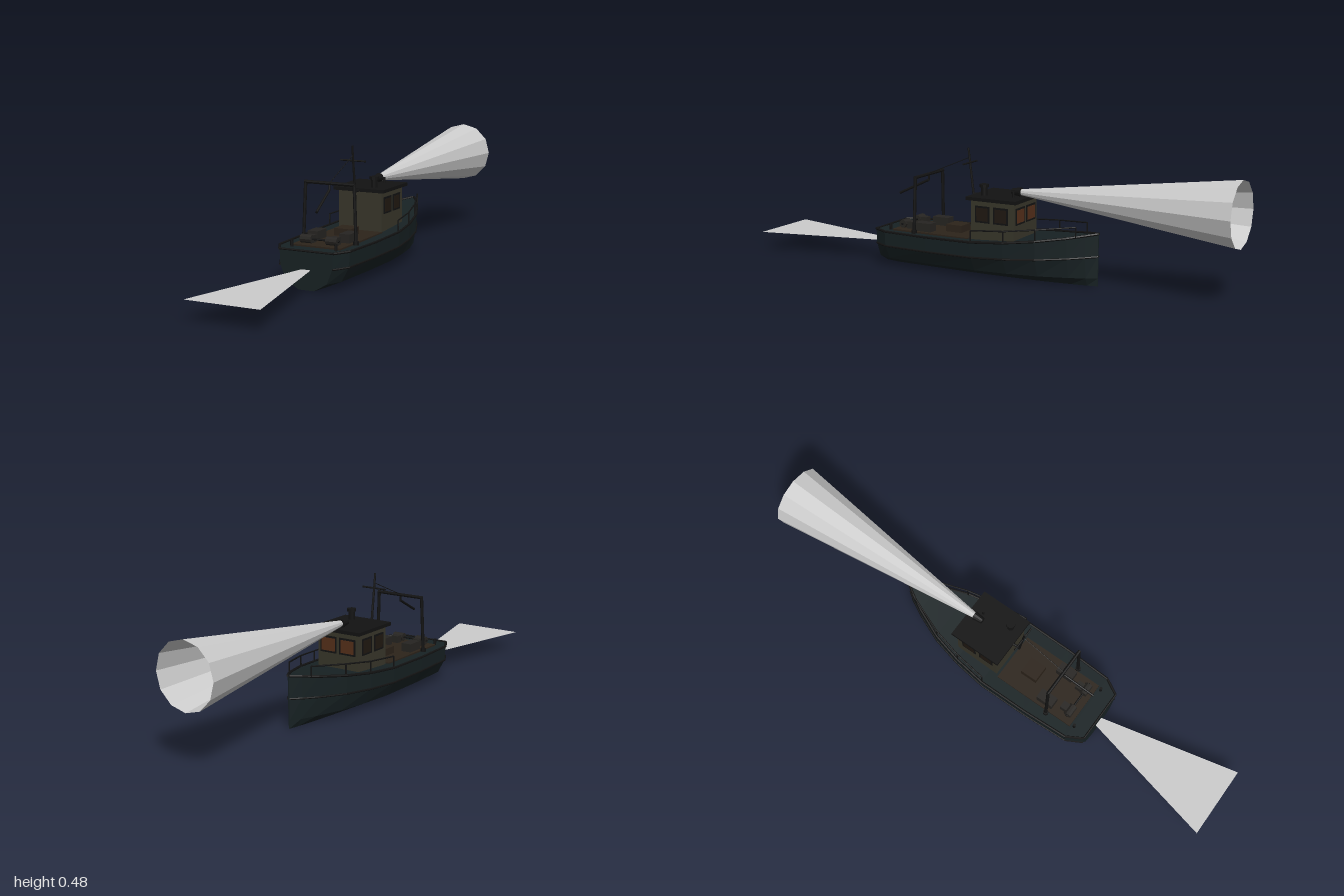
import * as THREE from 'three';

const paint = (color, side = THREE.FrontSide) =>
  new THREE.MeshStandardMaterial({ color, side, flatShading: true });
const M = {
  hull: paint(0x172123), black: paint(0x121212), deck: paint(0x2c231a), wall: paint(0x38362a),
  glass: paint(0x201811), lamp: paint(0x55301a), gear: paint(0x262421),
  grey: paint(0xcccccc, THREE.DoubleSide),
};
const V = (x, y, z) => new THREE.Vector3(x, y, z);

// hull stations from stern to bow: z, half beam, sheer height
const STATIONS = [
  [0.452, 0.108, 0.143], [0.39, 0.143, 0.143], [0.2, 0.152, 0.143], [0, 0.153, 0.146],
  [-0.13, 0.136, 0.154], [-0.25, 0.108, 0.167], [-0.36, 0.062, 0.182], [-0.42, 0.03, 0.192], [-0.46, 0.003, 0.198],
];
const railY = (s) => 0.085 + 0.5 * (s - 0.143);
const section = ([, b, s]) => [[b, s], [b * 0.975, railY(s)], [b * 0.77, 0.03], [b * 0.29, 0]];

function geometry(points, index) {
  const g = new THREE.BufferGeometry();
  g.setAttribute('position', new THREE.Float32BufferAttribute(points, 3));
  g.setIndex(index);
  g.computeVertexNormals();
  return g;
}

function hullGeometry() {
  const pts = [], idx = [], n = 8;
  STATIONS.forEach((st, i) => {
    const half = section(st);
    const ring = [...half, ...half.map(([x, y]) => [-x, y]).reverse()];
    ring.forEach(([x, y]) => pts.push(x, y, st[0]));
    if (i === STATIONS.length - 1) return;
    for (let j = 0; j < n - 1; j++) {
      const a = i * n + j, c = a + n;
      idx.push(a, a + 1, c, a + 1, c + 1, c);
    }
  });
  // transom and stem caps
  const last = (STATIONS.length - 1) * n;
  for (let j = 1; j < n - 1; j++) idx.push(0, j + 1, j, last, last + j, last + j + 1);
  return geometry(pts, idx);
}

// deck strip with slight inset below the sheer
function deckGeometry() {
  const pts = [], idx = [];
  STATIONS.forEach(([z, b, s], i) => {
    pts.push(b, s - 0.002, z, -b, s - 0.002, z);
    const a = i * 2;
    if (i < STATIONS.length - 1) idx.push(a, a + 2, a + 1, a + 1, a + 2, a + 3);
  });
  return geometry(pts, idx);
}

export function createModel() {
  const model = new THREE.Group();
  const add = (name, geo, mat, x = 0, y = 0, z = 0) => {
    const m = new THREE.Mesh(geo, mat);
    m.name = name;
    m.position.set(x, y, z);
    model.add(m);
    return m;
  };
  const box = (name, mat, w, h, d, x, y, z) => add(name, new THREE.BoxGeometry(w, h, d), mat, x, y, z);
  const rod = (name, a, b, r, mat = M.black, r2 = r, sides = 8) => {
    const m = add(name, new THREE.CylinderGeometry(r2, r, a.distanceTo(b), sides), mat);
    m.position.copy(a).add(b).multiplyScalar(0.5);
    m.quaternion.setFromUnitVectors(V(0, 1, 0), b.clone().sub(a).normalize());
    return m;
  };
  const chain = (name, pts, r) => pts.slice(1).forEach((p, i) => rod(name, pts[i], p, r, M.black, r, 6));

  // hull and decks
  add('hull', hullGeometry(), M.hull);
  add('deck', deckGeometry(), M.hull);
  box('workDeck', M.deck, 0.2, 0.006, 0.34, 0, 0.144, 0.21);

  // rub rails along both sides and across the stern
  for (const s of [1, -1]) {
    chain('sheerRail', STATIONS.map(([z, b, y]) => V(s * b, y, z)), 0.005);
    chain('rubRail', STATIONS.map(([z, b, y]) => V(s * b * 0.98, railY(y), z)), 0.004);
  }
  rod('sternRail', V(-0.108, 0.143, 0.452), V(0.108, 0.143, 0.452), 0.004);

  // wheelhouse
  box('wheelhouse', M.wall, 0.182, 0.157, 0.185, 0, 0.2185, -0.0625);
  box('wheelhouseRoof', M.black, 0.212, 0.013, 0.214, 0, 0.302, -0.063);
  for (const s of [1, -1]) {
    for (const z of [-0.02, -0.1]) {
      box('sideWindowFrame', M.black, 0.006, 0.064, 0.062, s * 0.091, 0.243, z);
      box('sideWindow', M.glass, 0.008, 0.05, 0.048, s * 0.091, 0.243, z);
    }
    box('frontWindowFrame', M.black, 0.072, 0.064, 0.006, s * 0.043, 0.243, -0.155);
    box('frontWindow', M.lamp, 0.06, 0.05, 0.008, s * 0.043, 0.243, -0.155);
  }

  // roof fittings
  rod('exhaust', V(0.045, 0.305, -0.002), V(0.045, 0.345, -0.002), 0.013, M.black, 0.013, 10);
  rod('exhaustCap', V(0.045, 0.34, -0.002), V(0.045, 0.351, -0.002), 0.018, M.black, 0.018, 10);
  rod('searchlightStand', V(0, 0.305, -0.12), V(0, 0.325, -0.12), 0.006);
  rod('searchlight', V(0, 0.325, -0.1), V(0, 0.325, -0.138), 0.012, M.black, 0.018, 12);
  rod('lightBracket', V(0.03, 0.308, -0.12), V(0.03, 0.33, -0.12), 0.005);

  // light beam
  const beam = add('lightBeam', new THREE.CylinderGeometry(0.012, 0.123, 0.86, 12, 1, true), M.grey, 0, 0.325, -0.57);
  beam.rotation.x = Math.PI / 2;

  // mast with crosstree
  rod('mastBracket', V(0, 0.3, 0.03), V(0, 0.3, 0.072), 0.005);
  rod('mast', V(0, 0.295, 0.07), V(0, 0.477, 0.093), 0.005, M.black, 0.004);
  rod('crosstree', V(-0.053, 0.42, 0.086), V(0.053, 0.42, 0.086), 0.0035);

  // stern gantry, boom and stay
  for (const s of [1, -1]) {
    rod('gantryLeg', V(s * 0.109, 0.14, 0.275), V(s * 0.1, 0.362, 0.272), 0.0065);
    rod('gantryFoot', V(s * 0.109, 0.142, 0.275), V(s * 0.109, 0.155, 0.275), 0.011);
  }
  rod('gantryBeam', V(-0.104, 0.36, 0.272), V(0.104, 0.36, 0.272), 0.0065);
  rod('boom', V(0, 0.336, 0.275), V(0.015, 0.275, 0.4), 0.005);
  rod('boomLink', V(0, 0.36, 0.272), V(0, 0.332, 0.275), 0.004);
  rod('stay', V(0, 0.362, 0.272), V(0, 0.44, 0.089), 0.0015, M.black, 0.0015, 5);

  // side handrails
  for (const s of [1, -1]) {
    const top = [[0.148, 0.19, 0], [0.131, 0.197, -0.13], [0.103, 0.21, -0.25], [0.05, 0.225, -0.39]]
      .map(([x, y, z]) => V(s * x, y, z));
    chain('handrail', top, 0.003);
    const feet = [0.146, 0.154, 0.167, 0.187];
    top.forEach((p, i) => rod('handrailPost', V(p.x, feet[i], p.z), p, 0.003, M.black, 0.003, 6));
  }

  // deck gear
  box('hatch', M.deck, 0.07, 0.03, 0.07, 0, 0.16, 0.14);
  for (const s of [1, -1]) {
    box('deckCrate', M.gear, 0.042, 0.034, 0.07, s * 0.066, 0.163, 0.25);
    box('winchBlock', M.gear, 0.03, 0.03, 0.03, s * 0.05, 0.16, 0.325);
    rod('winchDrum', V(s * 0.03, 0.165, 0.35), V(s * 0.075, 0.165, 0.35), 0.016, M.gear, 0.016, 10);
    rod('bollard', V(s * 0.09, 0.14, 0.395), V(s * 0.09, 0.165, 0.395), 0.006);
  }
  rod('winchShaft', V(-0.08, 0.165, 0.35), V(0.08, 0.165, 0.35), 0.004);

  // flat wake behind the stern
  add('wake', geometry([0, 0.075, 0.37, -0.145, 0.075, 1, 0.145, 0.075, 1], [0, 1, 2]), M.grey);
  return model;
}
